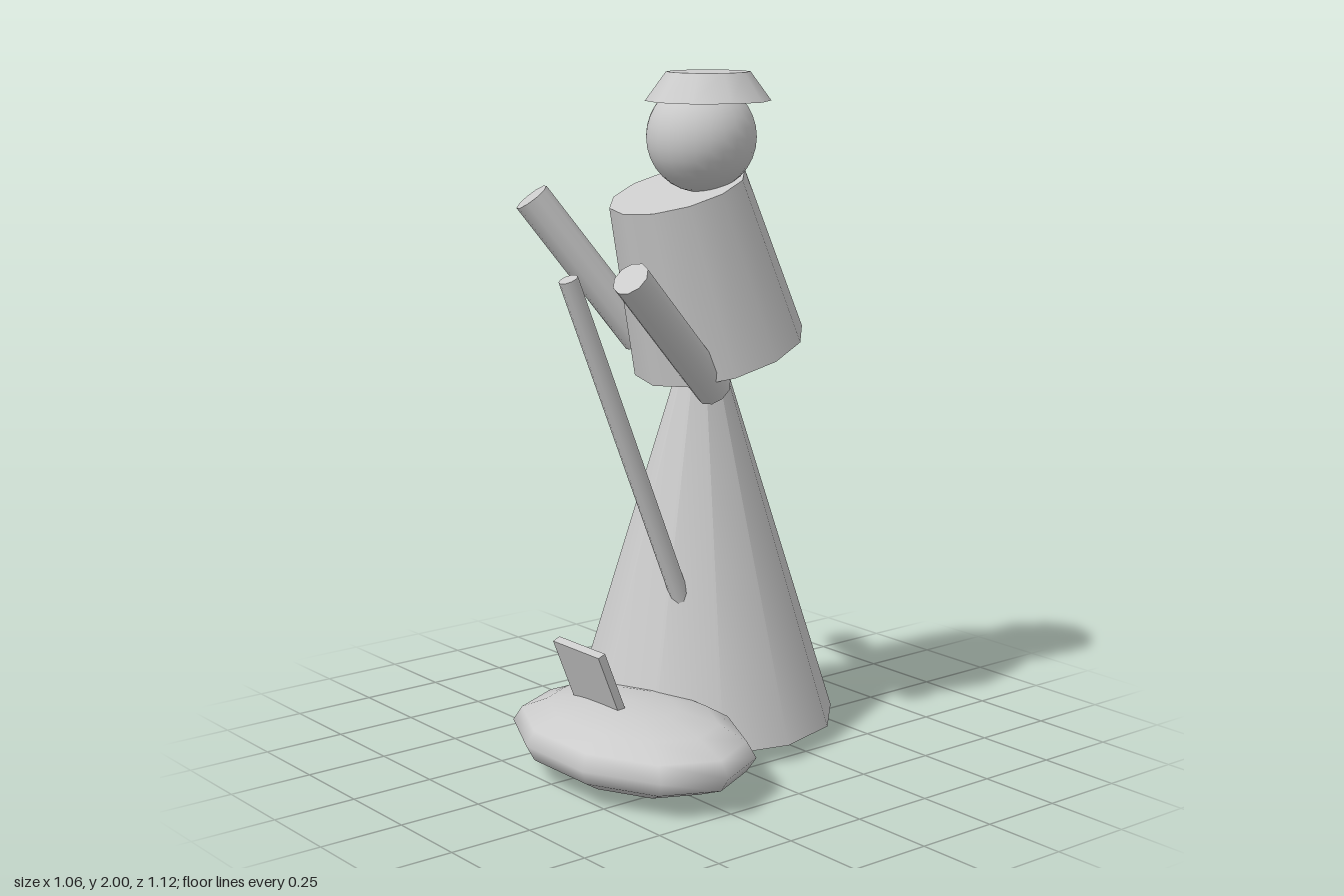
import * as THREE from 'three';

const material = new THREE.MeshStandardMaterial({ color: 0xcccccc });

function part(name, geometry, x, y, z, tilt = 0) {
  const mesh = new THREE.Mesh(geometry, material);
  mesh.name = name;
  mesh.position.set(x, y, z);
  mesh.rotation.x = tilt;
  return mesh;
}

// Straight round bar between two points
function bar(name, from, to, radius, sides) {
  const a = new THREE.Vector3(...from);
  const b = new THREE.Vector3(...to);
  const mesh = new THREE.Mesh(new THREE.CylinderGeometry(radius, radius, a.distanceTo(b), sides), material);
  mesh.name = name;
  mesh.position.copy(a).add(b).multiplyScalar(0.5);
  mesh.quaternion.setFromUnitVectors(new THREE.Vector3(0, 1, 0), b.sub(a).normalize());
  return mesh;
}

export function createModel() {
  const model = new THREE.Group();
  model.name = 'figure';

  // Conical skirt, with its tip inside the leaning torso
  model.add(part('skirt', new THREE.ConeGeometry(0.405, 1.31, 12), -0.125, 0.705, -0.155));
  model.add(part('torso', new THREE.CylinderGeometry(0.203, 0.258, 0.51, 12), -0.053, 1.424, -0.082, 0.31));

  // Head and hat
  model.add(part('head', new THREE.SphereGeometry(0.158, 24, 16), 0.018, 1.818, -0.035));
  model.add(part('hat', new THREE.CylinderGeometry(0.12, 0.18, 0.082, 10), 0.018, 1.959, -0.06));

  // Arms raised forward
  model.add(bar('rightArm', [-0.28, 1.2, -0.045], [-0.417, 1.63, 0.25], 0.055, 10));
  model.add(bar('leftArm', [0.07, 1.095, -0.04], [0.142, 1.455, 0.315], 0.055, 10));

  // Leaning stick, running into the front of the skirt
  model.add(bar('stick', [0.018, 0.46, 0.036], [0.018, 1.45, 0.435], 0.028, 10));

  // Flattened cushion with a small tilted plate standing in it
  const cushion = part('cushion', new THREE.SphereGeometry(1, 10, 8), 0.092, 0.117, 0.28);
  cushion.scale.set(0.434, 0.115, 0.29);
  model.add(cushion);
  model.add(part('plate', new THREE.BoxGeometry(0.218, 0.25, 0.025), 0.019, 0.28, 0.366, 0.38));

  return model;
}
